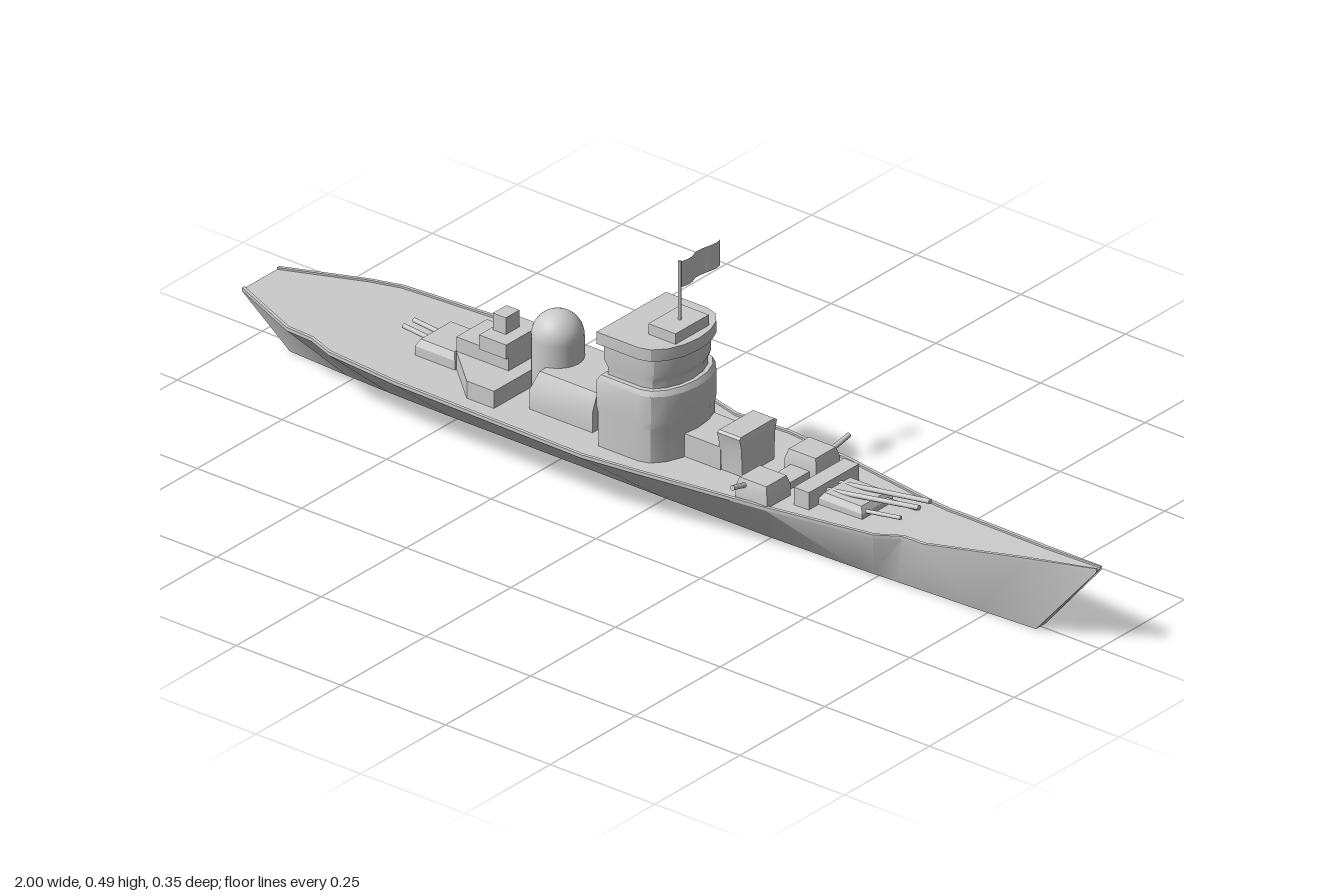
import * as THREE from 'three';
import { toCreasedNormals } from 'three/addons/utils/BufferGeometryUtils.js';

const material = new THREE.MeshStandardMaterial({ color: 0xcccccc });

// Skin a list of equal-length rings of [x, y, z] points and cap both ends
function loft(rings, crease = 0.5) {
  const n = rings[0].length, pos = [], index = [];
  rings.forEach(r => r.forEach(p => pos.push(...p)));
  for (let i = 0; i < rings.length - 1; i++) {
    for (let j = 0; j < n; j++) {
      const a = i * n + j, b = i * n + (j + 1) % n, c = a + n, d = b + n;
      index.push(a, c, b, b, c, d);
    }
  }
  const last = (rings.length - 1) * n;
  for (let j = 1; j < n - 1; j++) {
    index.push(0, j, j + 1, last, last + j + 1, last + j);
  }
  const g = new THREE.BufferGeometry();
  g.setAttribute('position', new THREE.Float32BufferAttribute(pos, 3));
  g.setIndex(index);
  return toCreasedNormals(g, crease);
}

// Stack a plan outline [x, z] through levels [y, scaleX, scaleZ, shiftX]
const stack = (plan, levels) => loft(levels.map(([y, sx = 1, sz = 1, dx = 0]) =>
  plan.map(([x, z]) => [x * sx + dx, y, z * sz])));

export function createModel() {
  const ship = new THREE.Group();
  ship.name = 'warship';

  const add = (name, geometry, x = 0, y = 0, z = 0, parent = ship) => {
    const m = new THREE.Mesh(geometry, material);
    m.name = name;
    m.position.set(x, y, z);
    parent.add(m);
    return m;
  };
  // Box given by its limits
  const box = (name, x0, x1, y0, y1, z0, z1) => add(name,
    new THREE.BoxGeometry(x1 - x0, y1 - y0, z1 - z0), (x0 + x1) / 2, (y0 + y1) / 2, (z0 + z1) / 2);
  // Straight tube between two points
  const rod = (name, from, to, r) => {
    const a = new THREE.Vector3(...from), b = new THREE.Vector3(...to);
    const m = add(name, new THREE.CylinderGeometry(r, r, a.distanceTo(b), 10));
    m.position.copy(a).add(b).multiplyScalar(0.5);
    m.quaternion.setFromUnitVectors(new THREE.Vector3(0, 1, 0), b.sub(a).normalize());
    return m;
  };

  // Hull stations: x, deck edge at -z, deck edge at +z, sheer height, keel half width
  const stations = [
    [-1, -0.05, 0.06, 0.116, 0.03], [-0.84, -0.125, 0.125, 0.112, 0.038],
    [-0.78, -0.145, 0.127, 0.111, 0.04], [-0.72, -0.15, 0.15, 0.111, 0.042],
    [-0.55, -0.162, 0.165, 0.111, 0.044], [-0.1, -0.174, 0.172, 0.111, 0.044],
    [0.02, -0.142, 0.157, 0.111, 0.044], [0.14, -0.15, 0.14, 0.111, 0.043],
    [0.3, -0.133, 0.12, 0.112, 0.042], [0.53, -0.09, 0.088, 0.118, 0.036],
    [0.58, -0.08, 0.065, 0.122, 0.034], [0.64, -0.069, 0.075, 0.13, 0.031],
    [0.85, -0.031, 0.035, 0.154, 0.022], [1, -0.008, 0.008, 0.17, 0.014],
  ];
  const hullRings = stations.map(([x, zn, zp, y, k]) => {
    const xb = -0.91 + (x + 1) * 0.885, e = Math.min(0.007, zp * 0.4), d = y - 0.004;
    return [[xb, 0, -k], [xb, 0, k], [x, y - 0.007, zp], [x, y, zp], [x, y, zp - e], [x, d, zp - e],
      [x, d, zn + e], [x, y, zn + e], [x, y, zn], [x, y - 0.007, zn]];
  });
  add('hull', loft(hullRings, 0.6));

  // Main tower: square at the rear, rounded at the front
  const towerPlan = [[-0.08, 0.102], [-0.08, -0.102]];
  for (let i = 0; i <= 8; i++) {
    const a = -Math.PI / 2 + i * Math.PI / 8;
    towerPlan.push([0.02 + 0.063 * Math.cos(a), 0.102 * Math.sin(a)]);
  }
  const tz = 0.0165, tx = -0.025;
  add('towerBase', stack(towerPlan, [
    [0.105, 0.95, 1], [0.175, 0.95, 1], [0.19, 1, 1], [0.245, 1, 1], [0.255, 0.92, 0.95]]), tx, 0, tz);
  add('towerWaist', stack(towerPlan, [
    [0.25, 0.82, 0.85], [0.27, 0.82, 0.85], [0.285, 0.92, 0.87], [0.325, 0.92, 0.87]]), tx, 0, tz);
  add('bridgeRoof', stack(towerPlan, [[0.32, 1, 1], [0.345, 1, 1]]), tx, 0, tz);
  box('lookoutCabin', -0.025, 0.04, 0.343, 0.367, -0.033, 0.065);
  rod('mast', [0.01, 0.36, 0.0155], [0.01, 0.49, 0.0155], 0.003);

  // Waving flag trailing from the mast
  const flag = new THREE.PlaneGeometry(0.117, 0.054, 20, 1);
  flag.rotateY(Math.PI / 2);
  const fp = flag.attributes.position;
  for (let i = 0; i < fp.count; i++) {
    const t = 0.5 - fp.getZ(i) / 0.117;
    fp.setX(i, 0.007 * Math.sin(t * Math.PI * 3));
    fp.setY(i, fp.getY(i) + 0.003 * Math.sin(t * Math.PI * 3));
  }
  flag.computeVertexNormals();
  add('flag', flag, 0.01, 0.46, -0.045).material =
    new THREE.MeshStandardMaterial({ color: 0xcccccc, side: THREE.DoubleSide });

  // Midship house with sloping sides
  add('midshipHouse', stack(
    [[-0.075, -0.085], [0.075, -0.085], [0.075, 0.085], [-0.075, 0.085]],
    [[0.105], [0.15, 1, 1], [0.183, 0.92, 0.8, 0.004]]), -0.217, 0, 0);
  box('towerLink', -0.15, -0.09, 0.105, 0.145, -0.06, 0.07);

  // Radar dome on a drum
  const dome = [new THREE.Vector2(0.05, 0.105)];
  for (let i = 0; i <= 10; i++) {
    const a = i * Math.PI / 20;
    dome.push(new THREE.Vector2(0.05 * Math.cos(a), 0.228 + 0.05 * Math.sin(a)));
  }
  add('radarDome', new THREE.LatheGeometry(dome, 28), -0.294, 0, 0);

  // Aft deckhouse with angled rear corners
  add('aftDeckhouse', stack(
    [[-0.5, -0.045], [-0.41, -0.125], [-0.345, -0.125], [-0.345, 0.125], [-0.41, 0.125], [-0.5, 0.045]],
    [[0.105], [0.143]]));
  box('aftUpperHouse', -0.5, -0.375, 0.14, 0.173, -0.045, 0.045);
  box('aftCabin', -0.44, -0.375, 0.17, 0.2, -0.052, 0.052);
  box('aftLookout', -0.433, -0.402, 0.198, 0.235, -0.02, 0.02);

  // Gun housings with sloped faces
  const turret = (name, x, z, lx, lz, h) => add(name, stack(
    [[-lx / 2, -lz / 2], [lx / 2, -lz / 2], [lx / 2, lz / 2], [-lx / 2, lz / 2]],
    [[0.105], [0.105 + h * 0.6], [0.105 + h, 0.85, 0.85]]), x, 0, z);
  turret('aftTurret', -0.545, 0, 0.095, 0.105, 0.035);
  for (const z of [-0.015, 0.015]) rod('aftBarrel', [-0.55, 0.125, z], [-0.65, 0.134, z], 0.005);

  // Forward deckhouse
  box('forwardLink', 0.04, 0.135, 0.105, 0.155, -0.05, 0.05);
  add('forwardHouse', stack(
    [[-0.027, -0.055], [0.027, -0.055], [0.027, 0.055], [-0.027, 0.055]],
    [[0.105, 1, 0.85], [0.165, 1, 0.9], [0.187, 1, 1], [0.191, 0.95, 0.9]]), 0.158, 0, 0);

  // Side guns pointing outboard
  for (const [s, x, z] of [[-1, 0.28, -0.063], [1, 0.245, 0.082]]) {
    turret('sideTurret', 0.263, z, 0.075, 0.07, 0.045);
    rod('sideBarrel', [x, 0.131, z], [x, 0.147, s * 0.15], 0.005);
  }
  box('sideGunPlatform', 0.24, 0.285, 0.105, 0.122, -0.09, 0.1);

  // Forward gun battery: a low pair and a raised pair of barrels
  box('forwardGunShield', 0.33, 0.366, 0.105, 0.146, -0.074, 0.074);
  turret('forwardTurret', 0.418, 0, 0.104, 0.09, 0.03);
  for (const z of [-0.018, 0.018]) {
    rod('raisedBarrel', [0.36, 0.128, z], [0.583, 0.163, z * 0.9], 0.005);
    rod('lowBarrel', [0.44, 0.12, z * 1.8], [0.545, 0.132, z * 1.3], 0.004);
  }
  return ship;
}
